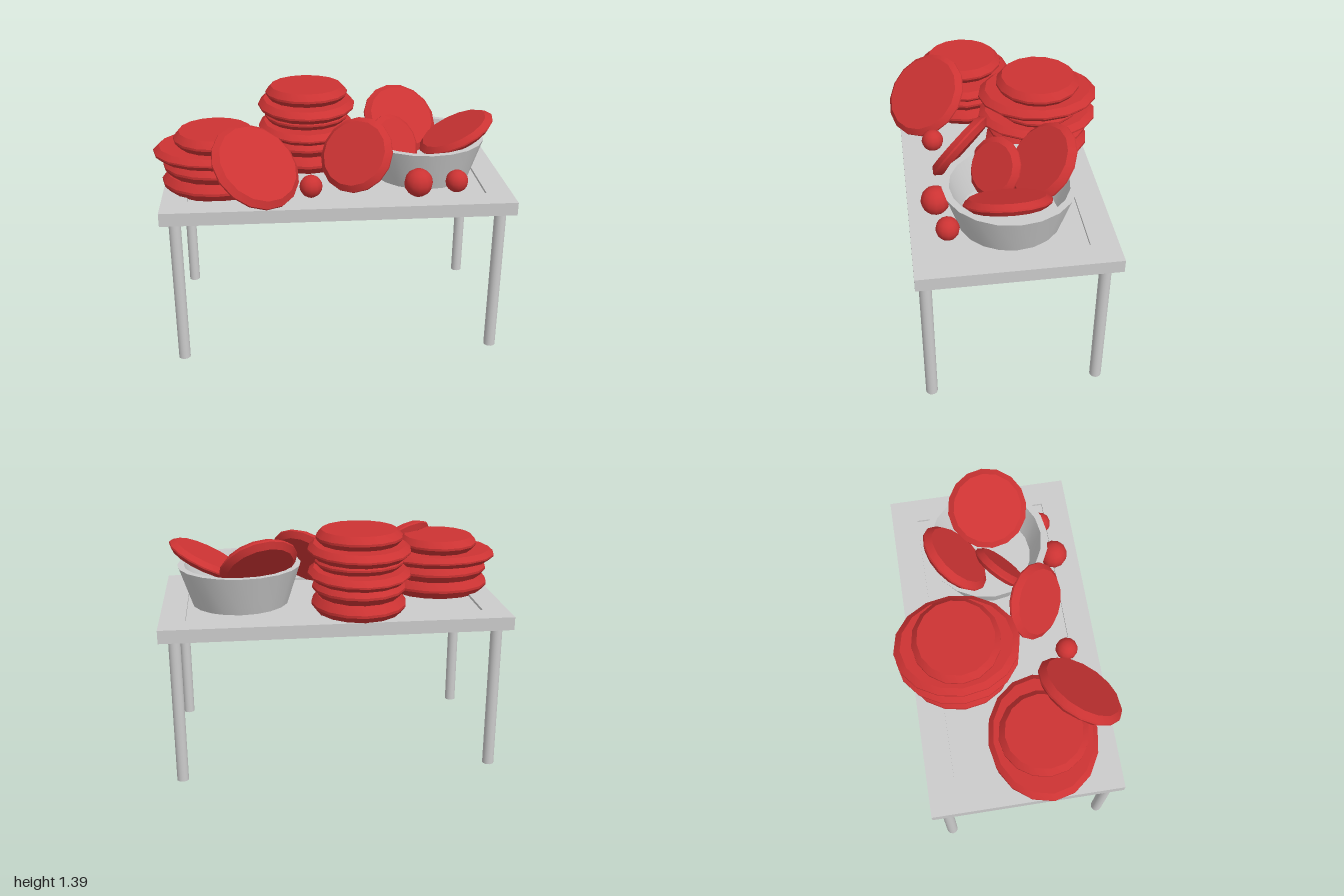
import * as THREE from 'three';
import { toCreasedNormals } from 'three/addons/utils/BufferGeometryUtils.js';

const grey = new THREE.MeshStandardMaterial({ color: 0xcccccc });
const red = new THREE.MeshStandardMaterial({ color: 0xcc3333 });
const V2 = (x, y) => new THREE.Vector2(x, y);

function add(parent, name, geometry, material, x = 0, y = 0, z = 0) {
  const mesh = new THREE.Mesh(geometry, material);
  mesh.name = name;
  mesh.position.set(x, y, z);
  parent.add(mesh);
  return mesh;
}

function lathe(profile, segments) {
  return toCreasedNormals(new THREE.LatheGeometry(profile.map(p => V2(...p)), segments), 0.6);
}

// Flat round loaf with a bevelled rim, possibly oval
function loafGeometry(rx, rz, height) {
  const h = height / 2;
  const bevel = 0.032 / rx;
  const profile = [[0, -h], [1 - bevel, -h], [1, -h * 0.15], [1, h * 0.15], [1 - bevel, h], [0, h]];
  const g = new THREE.LatheGeometry(profile.map(p => V2(...p)), 16);
  g.scale(rx, 1, rz);
  return toCreasedNormals(g, 0.6);
}

function rectangle(target, w, d) {
  target.moveTo(-w / 2, -d / 2);
  target.lineTo(w / 2, -d / 2);
  target.lineTo(w / 2, d / 2);
  target.lineTo(-w / 2, d / 2);
  target.closePath();
  return target;
}

export function createModel() {
  const model = new THREE.Group();
  model.name = 'breadTable';

  // Table: slab, raised border around a shallow recess, four round legs
  const table = new THREE.Group();
  table.name = 'table';
  model.add(table);
  add(table, 'tableSlab', new THREE.BoxGeometry(1.95, 0.06, 1.07), grey, 0.025, 0.885, 0.005);
  const border = rectangle(new THREE.Shape(), 1.95, 1.07);
  border.holes.push(rectangle(new THREE.Path(), 1.665, 0.77));
  const borderGeometry = new THREE.ExtrudeGeometry(border, { depth: 0.015, bevelEnabled: false });
  borderGeometry.rotateX(-Math.PI / 2);
  add(table, 'tableBorder', borderGeometry, grey, 0.025, 0.915, 0.005);
  for (const x of [-0.872, 0.918]) {
    for (const z of [-0.453, 0.487]) {
      add(table, 'tableLeg', new THREE.CylinderGeometry(0.033, 0.033, 0.857, 16), grey, x, 0.4285, z);
    }
  }

  // Basin: flared wall with a thick rim and an inner floor
  add(model, 'basin', lathe([
    [0, 0], [0.283, 0], [0.358, 0.228], [0.32, 0.228], [0.26, 0.04], [0, 0.04],
  ], 20), grey, 0.55, 0.917, 0);

  // Stacks of loaves: [rx, rz, bottom y, top y]
  const stacks = [
    { name: 'middleStack', x: -0.115, z: -0.258, layers: [
      [0.27, 0.302, 0.92, 1.02], [0.265, 0.292, 1.02, 1.11], [0.29, 0.343, 1.11, 1.175],
      [0.25, 0.245, 1.17, 1.245], [0.29, 0.343, 1.24, 1.312], [0.245, 0.24, 1.305, 1.39]] },
    { name: 'leftStack', x: -0.65, z: 0.125, layers: [
      [0.31, 0.28, 0.92, 1.015], [0.3, 0.27, 1.015, 1.105], [0.35, 0.295, 1.107, 1.172],
      [0.235, 0.24, 1.17, 1.255]] },
  ];
  for (const s of stacks) {
    const stack = new THREE.Group();
    stack.name = s.name;
    stack.position.set(s.x, 0, s.z);
    model.add(stack);
    for (const [rx, rz, low, high] of s.layers) {
      add(stack, 'stackedLoaf', loafGeometry(rx, rz, high - low), red, 0, (low + high) / 2, 0);
    }
  }

  // Leaning loaves: [name, radius, thickness, centre, direction of the flat face]
  const leaning = [
    ['leaningLoafLeft', 0.263, 0.07, [-0.425, 1.12, 0.372], [0.45, 0.71, 0.54]],
    ['leaningLoafMiddle', 0.22, 0.07, [0.14, 1.115, 0.222], [-0.485, 0.545, 0.68]],
    ['basinLoafBack', 0.228, 0.07, [0.445, 1.183, -0.193], [0.25, 0.67, 0.7]],
    ['basinLoafSmall', 0.172, 0.06, [0.378, 1.12, 0.055], [0.51, 0.53, 0.67]],
    ['basinLoafRight', 0.23, 0.06, [0.742, 1.168, 0.037], [-0.45, 0.89, 0]],
  ];
  const up = new THREE.Vector3(0, 1, 0);
  for (const [name, radius, thickness, centre, normal] of leaning) {
    const loaf = add(model, name, loafGeometry(radius, radius, thickness), red, ...centre);
    loaf.quaternion.setFromUnitVectors(up, new THREE.Vector3(...normal).normalize());
  }

  // Small round buns on the table
  for (const [r, x, z] of [[0.08, 0.47, 0.39], [0.064, 0.695, 0.345], [0.064, -0.125, 0.36]]) {
    add(model, 'bun', new THREE.SphereGeometry(r, 12, 8), red, x, 0.925 + r, z);
  }
  return model;
}
